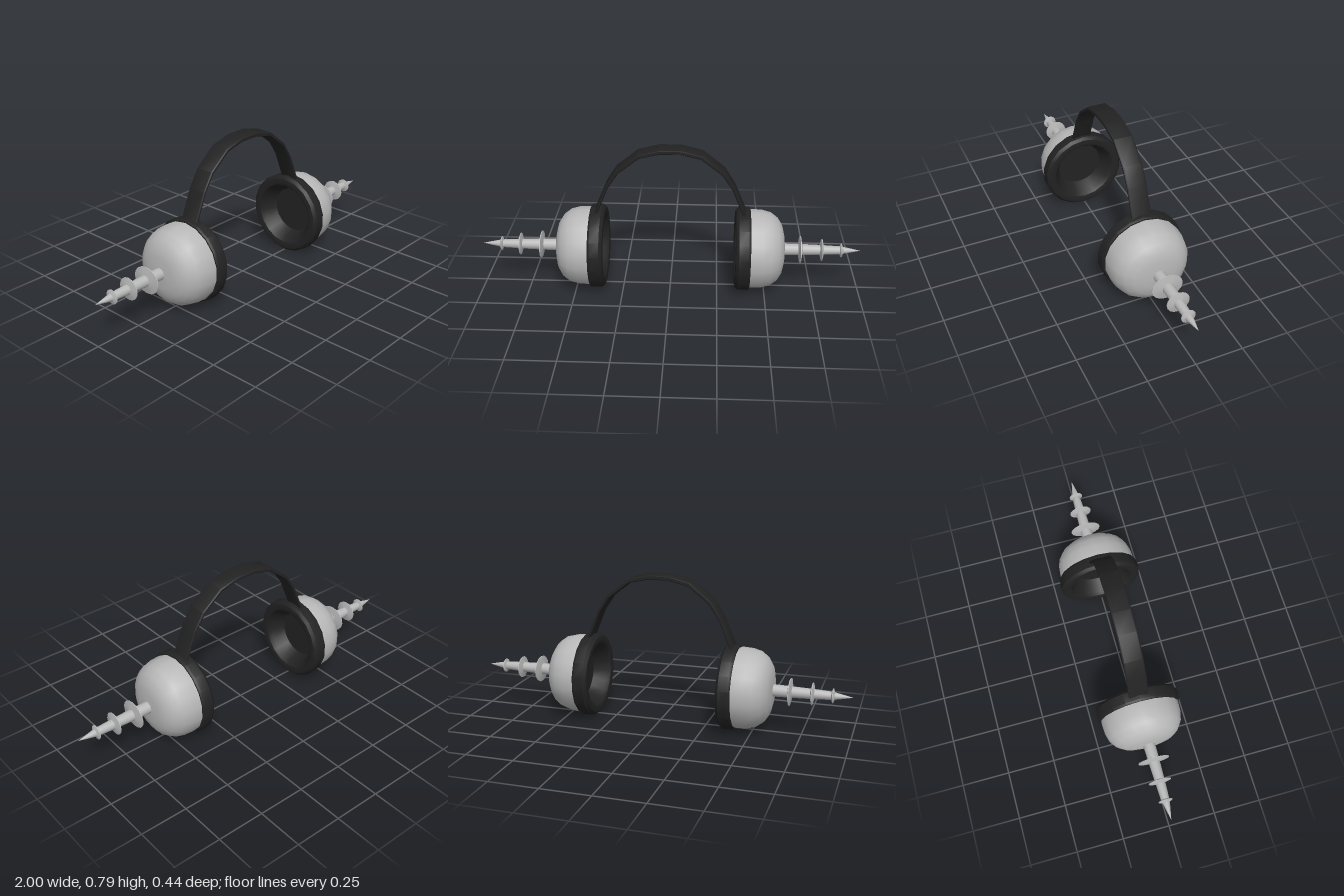
import * as THREE from 'three';
import { toCreasedNormals } from 'three/addons/utils/BufferGeometryUtils.js';

const SEGMENTS = 18;
const CENTRE_Y = 0.225;

// Lathe from [radius, distance along the axis] pairs
function lathe(points, segments = SEGMENTS) {
  const profile = points.map(([r, d]) => new THREE.Vector2(r, d));
  return new THREE.LatheGeometry(profile, segments, Math.PI / 2);
}

function addMesh(parent, name, geometry, material) {
  const mesh = new THREE.Mesh(geometry, material);
  mesh.name = name;
  parent.add(mesh);
  return mesh;
}

// One ear cup, built pointing up +y and later turned sideways
function createEarCup(name, metal, black) {
  const cup = new THREE.Group();
  cup.name = name;

  // Outer shell
  addMesh(cup, 'shell', lathe([
    [0.208, 0.4], [0.21, 0.43], [0.207, 0.48], [0.195, 0.525],
    [0.168, 0.562], [0.13, 0.586], [0.08, 0.598], [0, 0.602],
  ]), metal);

  // Hollow ear pad with a recessed floor
  addMesh(cup, 'earPad', toCreasedNormals(lathe([
    [0, 0.43], [0.125, 0.43], [0.158, 0.362], [0.172, 0.345], [0.19, 0.34],
    [0.208, 0.343], [0.222, 0.358], [0.222, 0.408], [0.216, 0.418], [0.2, 0.419],
  ]), 0.6), black);

  // Tapered spike
  addMesh(cup, 'spike', lathe([
    [0.032, 0.58], [0.03, 0.68], [0.026, 0.8], [0.021, 0.9], [0.011, 0.95], [0, 1],
  ], 16), metal);

  // Thin collars along the spike: position, height radius, depth radius
  const collars = [[0.685, 0.07, 0.082], [0.798, 0.058, 0.06], [0.9, 0.037, 0.037]];
  for (const [d, ry, rz] of collars) {
    const geometry = toCreasedNormals(
      lathe([[0.3, -0.012], [1, -0.002], [1, 0.002], [0.3, 0.012]], 16), 0.5);
    const collar = addMesh(cup, 'spikeCollar', geometry, metal);
    collar.position.y = d;
    collar.scale.set(ry, 1, rz);
  }
  return cup;
}

// Faceted arch, extruded front to back with a small bevel
function createHeadband(black) {
  const outer = [[0.395, 0.425], [0.33, 0.58], [0.275, 0.668], [0.163, 0.758], [0.055, 0.785]];
  const inner = [[0.385, 0.425], [0.322, 0.58], [0.268, 0.661], [0.159, 0.746], [0.053, 0.771]];
  const mirrored = (pts) => pts.map(([x, y]) => [-x, y]).reverse();
  const outline = [
    ...outer, ...mirrored(outer),
    ...[...inner, ...mirrored(inner)].reverse(),
  ].map(([x, y]) => new THREE.Vector2(x, y));
  const geometry = new THREE.ExtrudeGeometry(new THREE.Shape(outline), {
    depth: 0.09, bevelEnabled: true, bevelSegments: 1, bevelSize: 0.004, bevelThickness: 0.006,
  });
  geometry.translate(0, 0, -0.045);
  return toCreasedNormals(geometry, 0.6);
}

export function createModel() {
  const metal = new THREE.MeshStandardMaterial({ color: 0xb8b8b8 });
  metal.name = 'light grey metal';
  const black = new THREE.MeshStandardMaterial({ color: 0x222222 });
  black.name = 'black padding';

  const model = new THREE.Group();
  model.name = 'spikedHeadphones';
  addMesh(model, 'headband', createHeadband(black), black);

  for (const [name, side] of [['leftEarCup', 1], ['rightEarCup', -1]]) {
    const cup = createEarCup(name, metal, black);
    cup.rotation.z = -side * Math.PI / 2;
    cup.position.y = CENTRE_Y;
    model.add(cup);
  }
  return model;
}
